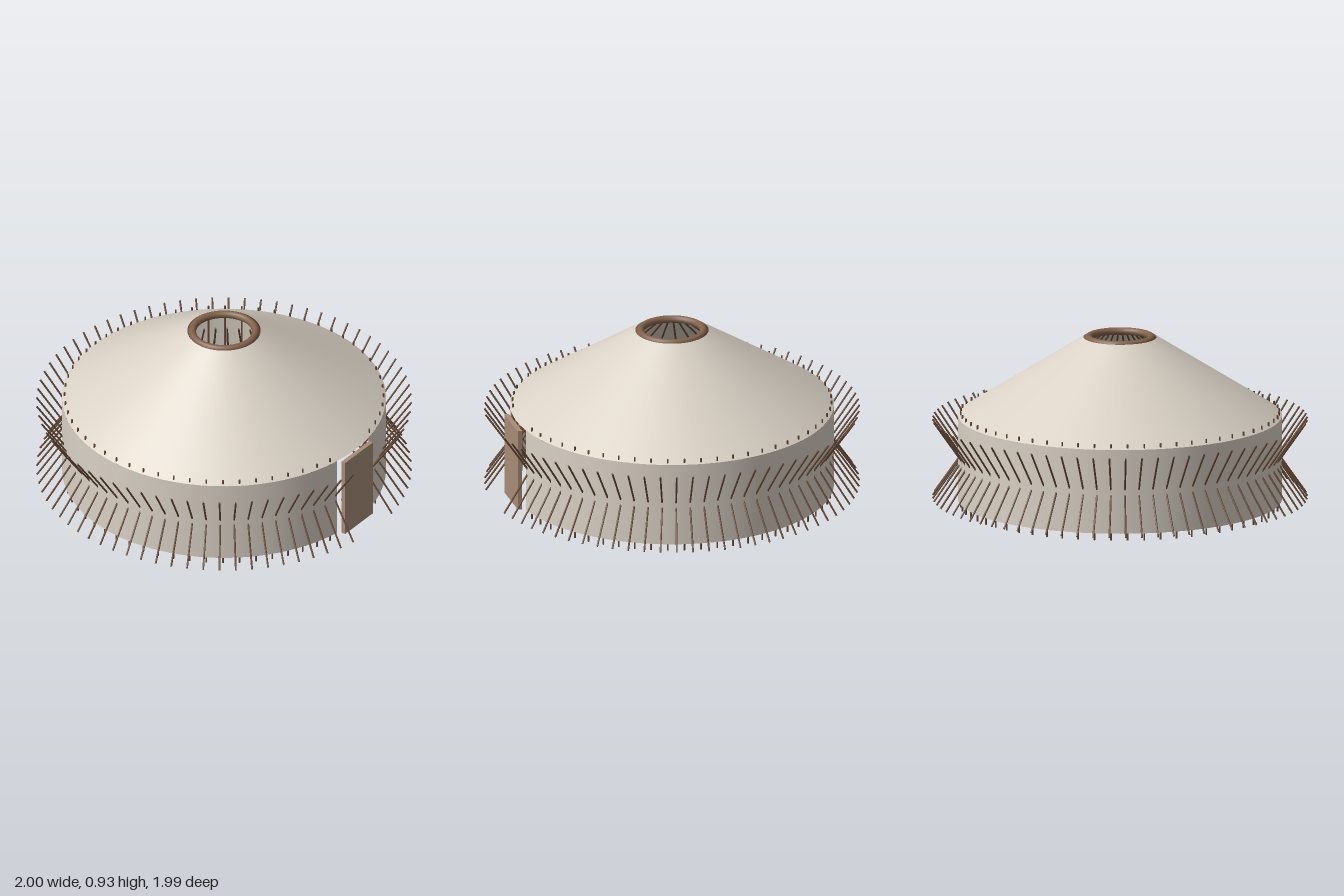
import * as THREE from 'three';

const deg = Math.PI / 180;
const up = new THREE.Vector3(0, 1, 0);
const zc = 0.007; // the tent's axis sits slightly forward, as no poles stand before the door

export function createModel() {
  const root = new THREE.Group();
  const paint = (name, color, side = THREE.FrontSide) => {
    const m = new THREE.MeshStandardMaterial({ color, side });
    m.name = name;
    return m;
  };
  const canvas = paint('canvas', 0xd9d1c5, THREE.DoubleSide);
  const poleWood = paint('pole wood', 0x6a4c38);
  const ringWood = paint('ring wood', 0x82624a);
  const doorWood = paint('door wood', 0xa88d77);

  const add = (name, geometry, material, parent = root) => {
    const mesh = new THREE.Mesh(geometry, material);
    mesh.name = name;
    parent.add(mesh);
    return mesh;
  };
  const group = (name) => {
    const g = new THREE.Group();
    g.name = name;
    g.position.z = zc;
    root.add(g);
    return g;
  };

  // Round pole lying in the vertical plane at angle a (0 = front), given as [radius, height] ends
  const pole = (name, a, [r1, y1], [r2, y2], parent) => {
    const p = new THREE.Vector3(r1 * Math.sin(a), y1, r1 * Math.cos(a));
    const q = new THREE.Vector3(r2 * Math.sin(a), y2, r2 * Math.cos(a));
    const d = q.clone().sub(p);
    const mesh = add(name, new THREE.CylinderGeometry(0.005, 0.005, d.length(), 8), poleWood, parent);
    mesh.position.copy(p).add(q).multiplyScalar(0.5);
    mesh.quaternion.setFromUnitVectors(up, d.normalize());
  };

  // Canvas wall, open at the doorway
  const gap = 9.3 * deg;
  const wall = add('wall', new THREE.CylinderGeometry(0.861, 0.861, 0.455, 96, 1, true,
    gap, Math.PI * 2 - gap * 2), canvas);
  wall.position.set(0, 0.2675, zc);

  // Conical roof with an open crown
  const roof = add('roof', new THREE.CylinderGeometry(0.195, 0.861, 0.425, 96, 1, true), canvas);
  roof.position.set(0, 0.7075, zc);

  // Crown ring
  const ring = add('crownRing', new THREE.TorusGeometry(0.168, 0.02, 14, 64), ringWood);
  ring.rotation.x = Math.PI / 2;
  ring.position.set(0, 0.914, zc);

  // Door panel
  const door = add('door', new THREE.BoxGeometry(0.25, 0.45, 0.024), doorWood);
  door.position.set(0, 0.265, 0.886);

  // Crossed lattice poles, left out at the doorway; they cross just inside the wall
  const lattice = group('lattice');
  for (let i = 2; i <= 70; i++) {
    const a = i * 5 * deg;
    pole('latticePole', a, [0.697, 0.048], [0.996, 0.478], lattice);
    pole('latticePole', a, [0.697, 0.478], [0.996, 0.048], lattice);
  }

  // Upright posts inside the wall and rafters under the roof
  const posts = group('posts');
  const rafters = group('rafters');
  for (let i = 0; i < 60; i++) {
    const a = i * 6 * deg;
    if (i > 1 && i < 59) pole('post', a, [0.847, 0], [0.847, 0.523], posts);
    pole('rafter', a, [0.845, 0.495], [0.18, 0.915], rafters);
  }
  return root;
}
